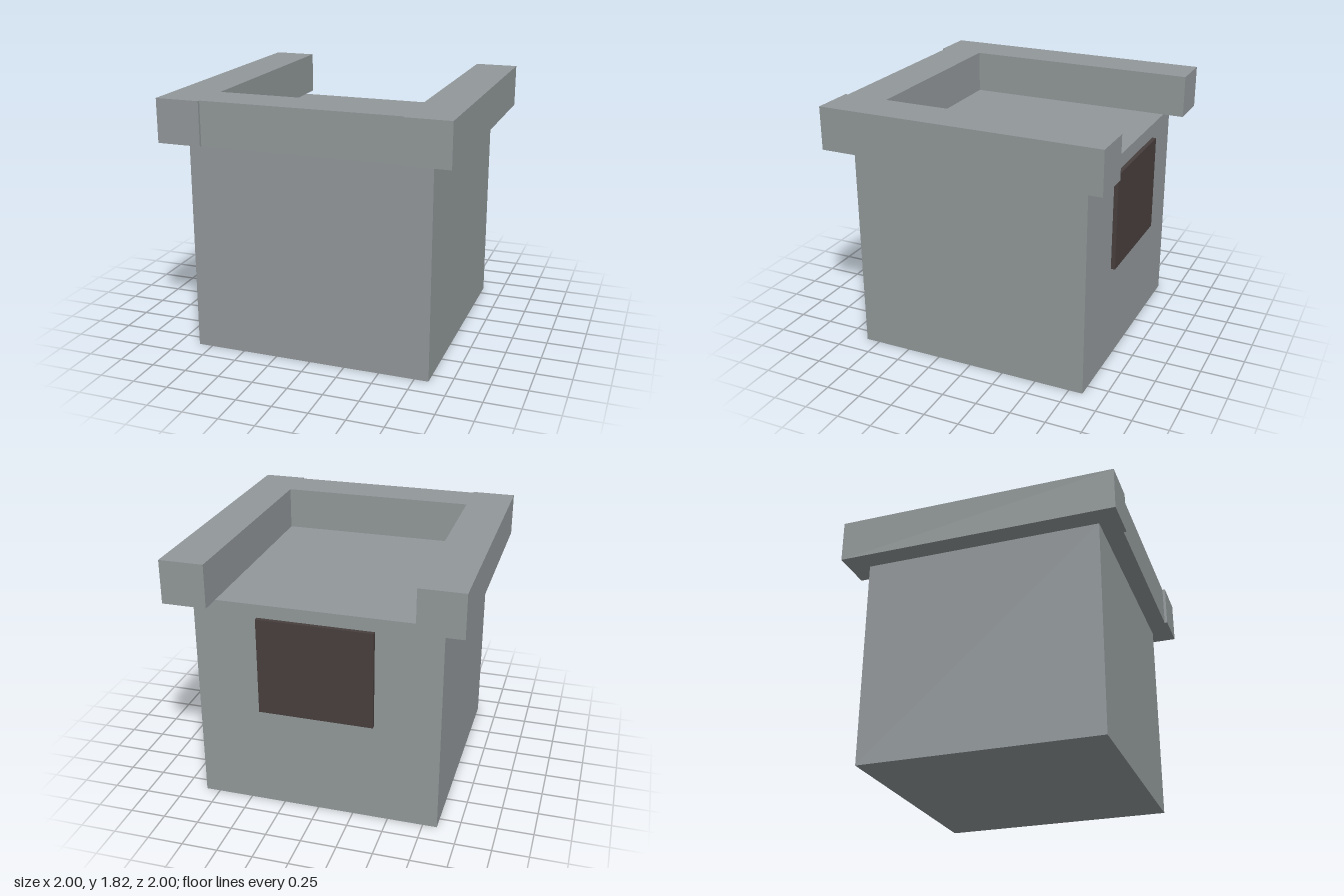
import * as THREE from 'three';

const stone = new THREE.MeshStandardMaterial({ name: 'stone grey', color: 0x92989a });
const wood = new THREE.MeshStandardMaterial({ name: 'dark brown', color: 0x483f3e });

// Box given by its minimum and maximum corners
function box(name, material, [x0, y0, z0], [x1, y1, z1]) {
  const mesh = new THREE.Mesh(new THREE.BoxGeometry(x1 - x0, y1 - y0, z1 - z0), material);
  mesh.position.set((x0 + x1) / 2, (y0 + y1) / 2, (z0 + z1) / 2);
  mesh.name = name;
  return mesh;
}

export function createModel() {
  const group = new THREE.Group();
  group.name = 'stoneBlock';

  const bodyTop = 1.512, rimTop = 1.815, inner = 0.692;

  // Main block
  group.add(box('body', stone, [-0.85, 0, -0.85], [0.85, bodyTop, 0.85]));

  // Parapet: two long side walls and a slightly recessed front wall, open at the back
  group.add(box('leftWall', stone, [inner, bodyTop, -1], [1, rimTop, 1]));
  group.add(box('rightWall', stone, [-1, bodyTop, -1], [-inner, rimTop, 1]));
  group.add(box('frontWall', stone, [-inner, bodyTop, 0.675], [inner, rimTop, 0.98]));

  // Dark panel standing just off the back face
  group.add(box('backPanel', wood, [-0.4, 0.735, -0.892], [0.4, 1.425, -0.862]));

  return group;
}
